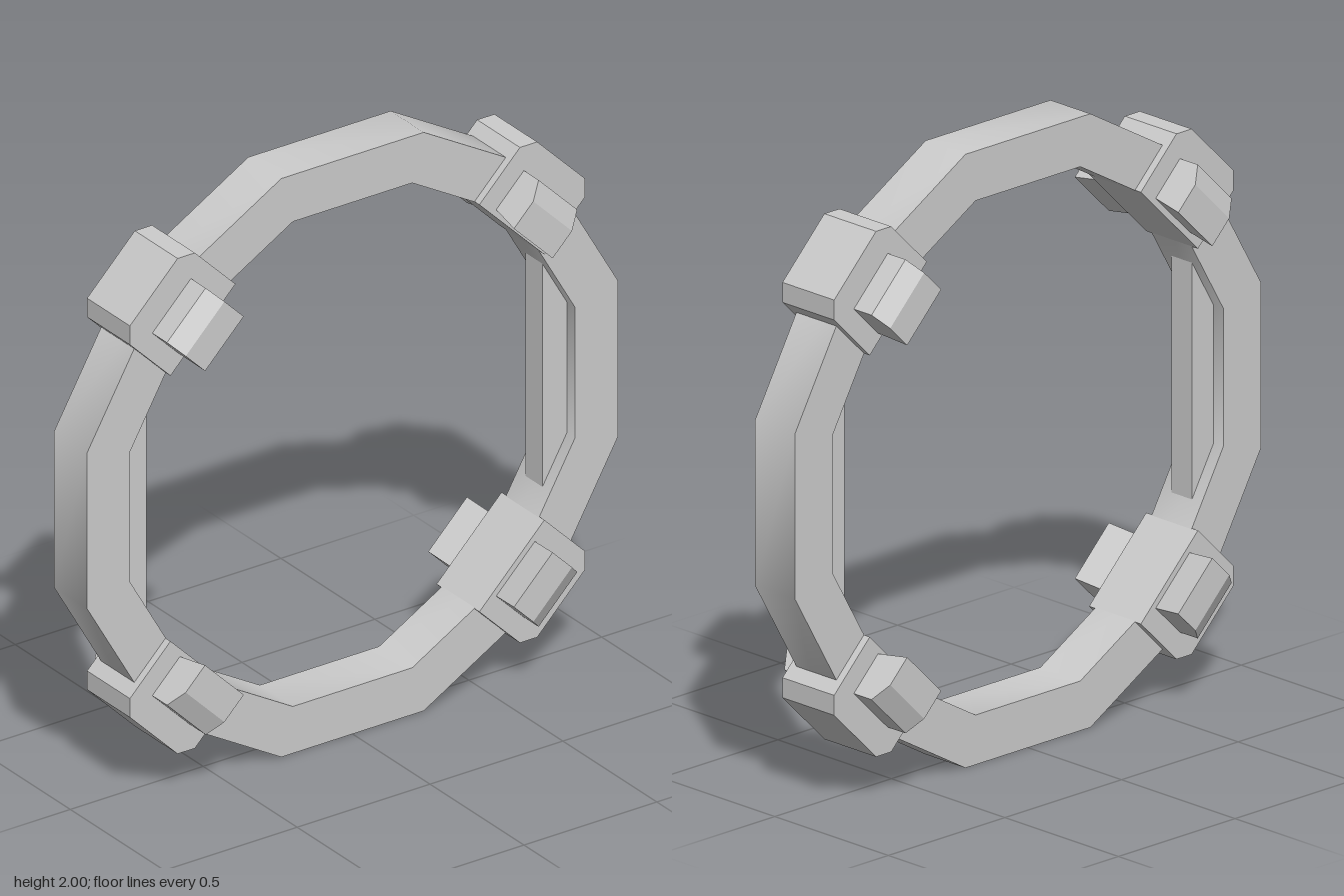
import * as THREE from 'three';
import { toCreasedNormals } from 'three/addons/utils/BufferGeometryUtils.js';

const material = new THREE.MeshStandardMaterial({ color: 0xcccccc });

// Flat outline extruded symmetrically about z = 0
function slab(shape, depth) {
  const geo = new THREE.ExtrudeGeometry(shape, { depth, bevelEnabled: false });
  return geo.translate(0, 0, -depth / 2);
}

function outline(points) {
  return new THREE.Shape(points.map(([x, y]) => new THREE.Vector2(x, y)));
}

// Twelve-sided polygon with flat top and sides, given its distance to a side
function dodecagon(apothem) {
  const r = apothem / Math.cos(Math.PI / 12);
  return Array.from({ length: 12 }, (_, i) => {
    const a = ((i + 0.5) * Math.PI) / 6;
    return new THREE.Vector2(r * Math.cos(a), r * Math.sin(a));
  });
}

function part(name, geometry, parent) {
  const mesh = new THREE.Mesh(geometry, material);
  mesh.name = name;
  parent.add(mesh);
  return mesh;
}

export function createModel() {
  const model = new THREE.Group();
  model.name = 'clampedRing';
  const wheel = new THREE.Group();
  wheel.name = 'ringAssembly';
  wheel.position.y = 1;
  model.add(wheel);

  // Main ring, softly shaded around its rim
  const ringShape = new THREE.Shape(dodecagon(1));
  ringShape.holes.push(new THREE.Path(dodecagon(0.838)));
  part('ring', toCreasedNormals(slab(ringShape, 0.176), 0.6), wheel);

  // Thin plates filling the inner left and right sides
  const plateGeo = slab(outline([
    [0.745, -0.39], [0.85, -0.22], [0.85, 0.22], [0.745, 0.39],
  ]), 0.09);
  for (const [name, turn] of [['leftPlate', 0], ['rightPlate', Math.PI]]) {
    part(name, plateGeo, wheel).rotation.z = turn;
  }

  // Clamp block: local y points outward, local x along the ring
  const blockGeo = slab(outline([
    [-0.173, 0.822], [0.173, 0.822], [0.173, 1.038],
    [0.127, 1.084], [-0.127, 1.084], [-0.173, 1.038],
  ]), 0.228);

  // Wedge lug: side profile (z, outward) swept along the ring
  const lugGeo = slab(outline([
    [0.1, 0.844], [0.228, 0.822], [0.228, 0.925], [0.192, 0.989], [0.1, 0.989],
  ]), 0.206).rotateY(-Math.PI / 2);

  // Four clamps on the diagonals, each with a lug front and back
  for (let i = 0; i < 4; i++) {
    const clamp = new THREE.Group();
    clamp.name = 'clamp' + (i + 1);
    clamp.rotation.z = Math.PI / 4 + (i * Math.PI) / 2;
    part('clampBlock', blockGeo, clamp);
    part('frontLug', lugGeo, clamp);
    part('backLug', lugGeo, clamp).rotation.y = Math.PI;
    wheel.add(clamp);
  }

  return model;
}
